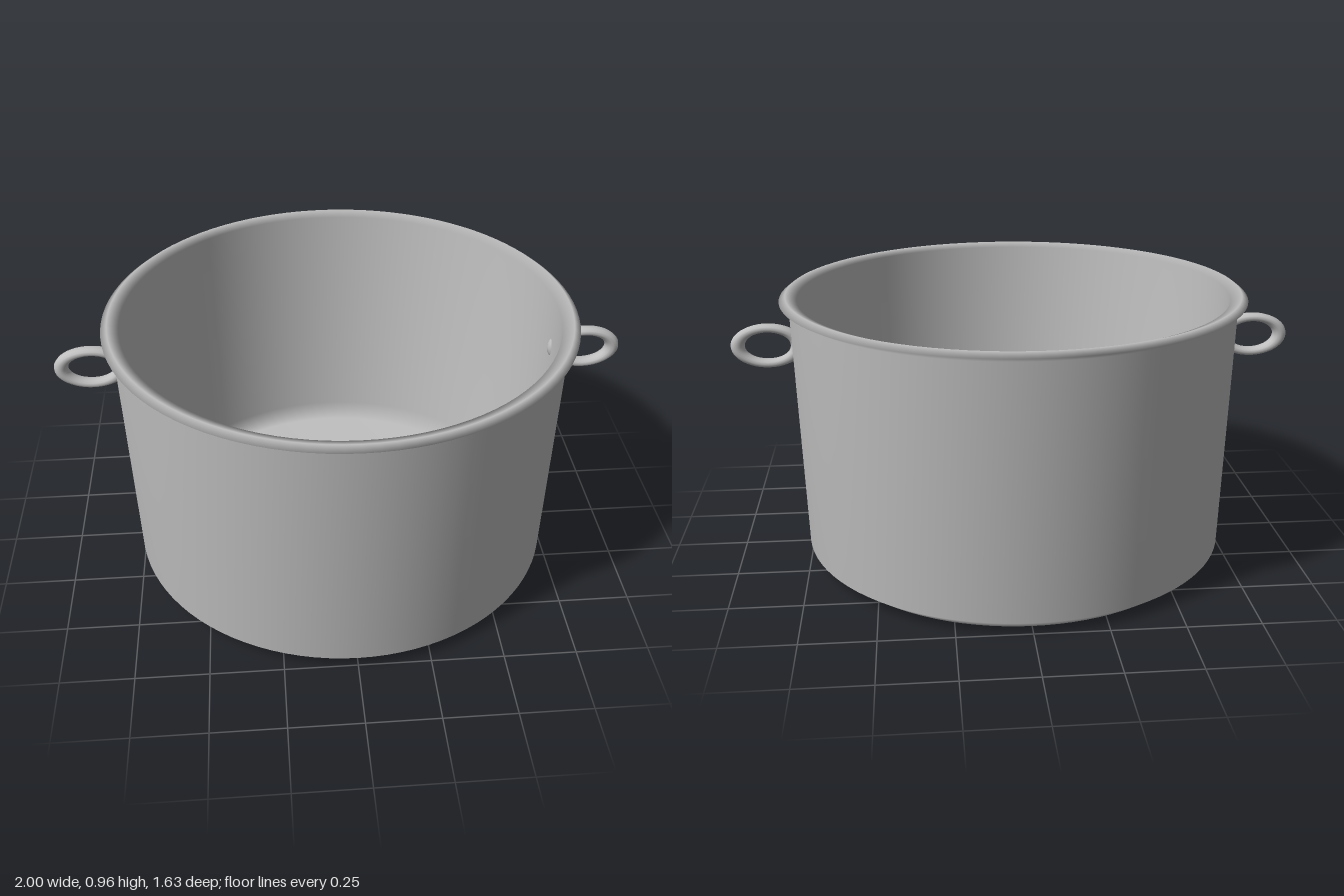
import * as THREE from 'three';

export function createModel() {
  const model = new THREE.Group();
  model.name = 'cookingPot';
  const metal = new THREE.MeshStandardMaterial({ color: 0xbfbfbf });
  metal.name = 'brushed metal';

  // Pot: one closed profile, up the outside, over the flared rim, down the inside
  const profile = [
    [0, 0], [0.7, 0], [0.76, 0.045], [0.785, 0.925],
    [0.817, 0.943], [0.795, 0.96], [0.756, 0.945],
    [0.735, 0.07], [0.67, 0.03], [0, 0.03],
  ].map(([r, y]) => new THREE.Vector2(r, y));
  const pot = new THREE.Mesh(new THREE.LatheGeometry(profile, 96), metal);
  pot.name = 'potBody';
  model.add(pot);

  // Oval ring handles, passing through the wall on each side
  const ring = new THREE.TorusGeometry(0.105, 0.025, 12, 48);
  ring.scale(1, 0.61, 1);
  for (const [name, side] of [['leftHandle', 1], ['rightHandle', -1]]) {
    const handle = new THREE.Mesh(ring, metal);
    handle.name = name;
    handle.position.set(side * 0.87, 0.765, 0);
    model.add(handle);
  }
  return model;
}
